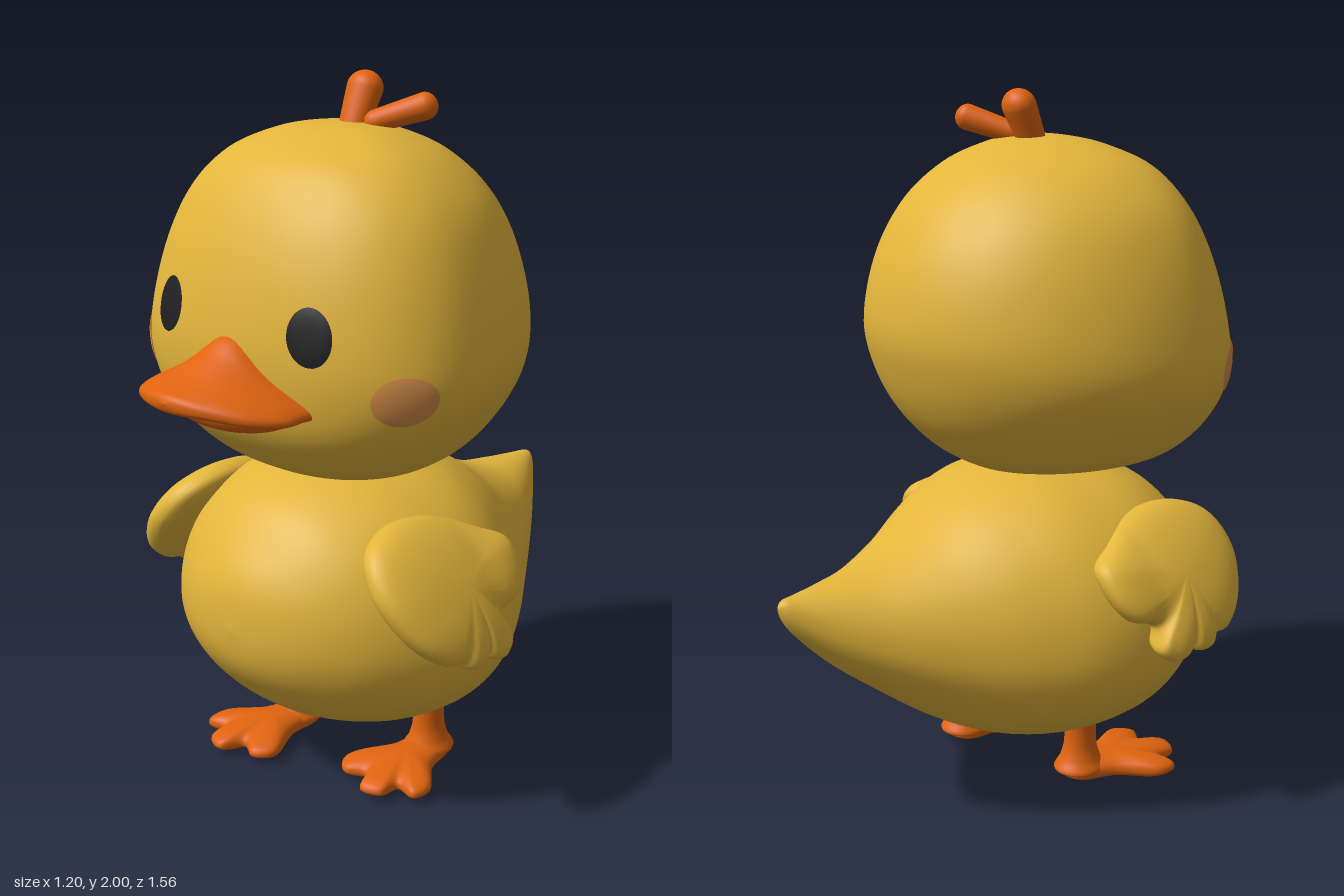
import * as THREE from 'three';
import { mergeVertices } from 'three/addons/utils/BufferGeometryUtils.js';

const TAU = Math.PI * 2;
const spow = (v, p) => Math.sign(v) * Math.abs(v) ** p;

// Smooth surface from fn(u, v) -> [x, y, z], welded and wound outward
function surface(fn, nu, nv) {
  const pos = [], index = [];
  for (let j = 0; j <= nv; j++)
    for (let i = 0; i <= nu; i++) pos.push(...fn((i % nu) / nu, j / nv));
  let volume = 0;
  const a = new THREE.Vector3(), b = new THREE.Vector3(), c = new THREE.Vector3();
  const tri = (p, q, r) => {
    index.push(p, q, r);
    a.fromArray(pos, p * 3); b.fromArray(pos, q * 3); c.fromArray(pos, r * 3);
    volume += a.dot(b.cross(c));
  };
  for (let j = 0; j < nv; j++)
    for (let i = 0; i < nu; i++) {
      const p = j * (nu + 1) + i, q = p + nu + 1;
      tri(p, p + 1, q);
      tri(p + 1, q + 1, q);
    }
  if (volume < 0) index.reverse();
  const g = new THREE.BufferGeometry();
  g.setAttribute('position', new THREE.Float32BufferAttribute(pos, 3));
  g.setIndex(index);
  const welded = mergeVertices(g, 1e-5);
  welded.computeVertexNormals();
  return welded;
}

// Catmull-Rom interpolation of a table of section rows, t in 0..1
function sample(rows, t) {
  const n = rows.length - 1, s = Math.min(Math.max(t, 0), 1) * n;
  const i = Math.min(Math.floor(s), n - 1), f = s - i;
  const p = rows[Math.max(i - 1, 0)], q = rows[i], r = rows[i + 1], w = rows[Math.min(i + 2, n)];
  return q.map((_, k) => {
    const m0 = (r[k] - p[k]) / 2, m1 = (w[k] - q[k]) / 2, d = r[k] - q[k];
    return q[k] + f * (m0 + f * (3 * d - 2 * m0 - m1 + f * (m0 + m1 - 2 * d)));
  });
}

// Puffy pad from a 2D outline; place(a, b, h) maps outline coordinates and height to space
function pad(outline, [ca, cb], place, nu = 96) {
  const curve = new THREE.CatmullRomCurve3(outline.map(([a, b]) => new THREE.Vector3(a, b, 0)), true);
  return surface((u, v) => {
    const p = curve.getPoint(u), r = Math.sin(Math.PI * v);
    const s = v === 0 || v === 1 ? 0 : r;
    return place(ca + (p.x - ca) * s, cb + (p.y - cb) * s, spow(Math.cos(Math.PI * v), 0.8));
  }, nu, 24);
}

// Body sections: z, half width, bottom, top
const BODY = [
  [0.572, 0, 0.55, 0.55], [0.555, 0.13, 0.45, 0.67], [0.5, 0.26, 0.36, 0.765],
  [0.4, 0.38, 0.26, 0.87], [0.25, 0.475, 0.19, 0.935], [0.1, 0.51, 0.165, 0.95],
  [-0.05, 0.482, 0.163, 0.945], [-0.2, 0.405, 0.2, 0.89], [-0.35, 0.31, 0.28, 0.8],
  [-0.5, 0.215, 0.39, 0.738], [-0.62, 0.135, 0.485, 0.72], [-0.72, 0.062, 0.585, 0.712],
  [-0.765, 0.026, 0.645, 0.708], [-0.782, 0, 0.69, 0.69],
];
// Head sections: y, half width, front z, back z
const HEAD = [
  [0.937, 0, 0.12, 0.12], [0.942, 0.13, 0.28, -0.05], [0.97, 0.28, 0.38, -0.14],
  [1.03, 0.395, 0.46, -0.23], [1.13, 0.485, 0.53, -0.315], [1.25, 0.54, 0.553, -0.37],
  [1.38, 0.532, 0.55, -0.395], [1.55, 0.485, 0.512, -0.36], [1.69, 0.415, 0.45, -0.28],
  [1.79, 0.31, 0.37, -0.17], [1.845, 0.19, 0.26, -0.05], [1.866, 0.09, 0.18, 0.04],
  [1.87, 0, 0.12, 0.12],
];
// Upper beak sections: z, half width, centre y, half thickness, ridge height
const BEAK = [
  [0.4, 0, 1.25, 0, 0], [0.41, 0.24, 1.25, 0.04, 0.09], [0.54, 0.257, 1.253, 0.04, 0.085],
  [0.61, 0.247, 1.25, 0.04, 0.045], [0.68, 0.2, 1.247, 0.036, 0.015],
  [0.735, 0.125, 1.246, 0.03, 0.003], [0.765, 0.06, 1.247, 0.022, 0], [0.776, 0, 1.25, 0, 0],
];
const LEG = [[0.03, 0], [0.035, 0.07], [0.07, 0.057], [0.11, 0.046], [0.17, 0.044], [0.22, 0.048], [0.25, 0.04], [0.255, 0]];

// Side outline of a wing (z, y) with three feather tips
const WING = [
  [0.45, 0.72], [0.42, 0.81], [0.32, 0.858], [0.16, 0.853], [0.02, 0.795], [-0.05, 0.755], [-0.045, 0.69],
  [0, 0.625], [0.085, 0.588], [0.072, 0.53], [0.11, 0.495], [0.155, 0.5], [0.18, 0.525], [0.205, 0.503],
  [0.25, 0.505], [0.275, 0.53], [0.32, 0.535], [0.4, 0.6],
];
// Top outline of a foot (outward x, z) with three webbed toes
const FOOT = [
  [0, -0.062], [0.05, -0.04], [0.08, 0.08], [0.155, 0.19], [0.14, 0.245], [0.075, 0.235], [0.06, 0.295],
  [0, 0.31], [-0.035, 0.245], [-0.1, 0.265], [-0.14, 0.215], [-0.07, 0.08], [-0.05, -0.04],
];

// Point on the head at height parameter t and angle a (a = 90 degrees is the front)
function headPoint(t, a, lift = 0) {
  const [y, w, zf, zb] = sample(HEAD, t);
  const zc = zb + (zf - zb) * 0.6, front = Math.sin(a) > 0;
  const p = front ? 0.89 : 1, depth = front ? zf - zc : zc - zb;
  return [(w + lift) * spow(Math.cos(a), p), y, zc + (depth + lift) * spow(Math.sin(a), p)];
}

// Height parameter of the head at a given y
function headT(y) {
  let lo = 0, hi = 1;
  for (let i = 0; i < 30; i++) {
    const mid = (lo + hi) / 2;
    if (sample(HEAD, mid)[0] < y) lo = mid; else hi = mid;
  }
  return lo;
}

// Thin oval lying on the head
function facePatch(side, deg, y, spanDeg, spanY, lift) {
  return surface((u, v) => {
    const a = THREE.MathUtils.degToRad(deg + spanDeg * v * Math.cos(u * TAU));
    const [x, py, z] = headPoint(headT(y + spanY * v * Math.sin(u * TAU)), a, lift * (1 - 0.5 * v ** 4));
    return [side * x, py, z];
  }, 40, 8);
}

// Rounded feather between two points
function feather(from, to, radius, flat) {
  const a = new THREE.Vector3(...from), b = new THREE.Vector3(...to), d = b.clone().sub(a);
  const g = new THREE.CapsuleGeometry(radius, d.length(), 10, 24, 6);
  const p = g.attributes.position;
  for (let i = 0; i < p.count; i++) {
    const k = 0.9 + 0.2 * THREE.MathUtils.clamp(p.getY(i) / d.length() + 0.5, 0, 1);
    p.setXYZ(i, p.getX(i) * k, p.getY(i), p.getZ(i) * k * flat);
  }
  g.computeVertexNormals();
  g.applyQuaternion(new THREE.Quaternion().setFromUnitVectors(new THREE.Vector3(0, 1, 0), d.normalize()));
  return g.translate((a.x + b.x) / 2, (a.y + b.y) / 2, (a.z + b.z) / 2);
}

export function createModel() {
  const model = new THREE.Group();
  const material = (name, color, extra) => Object.assign(new THREE.MeshStandardMaterial({ color, ...extra }), { name });
  const yellow = material('yellow down', 0xe3b53b);
  const orange = material('orange', 0xe0640f);
  const black = material('eye black', 0x202022, { side: THREE.DoubleSide });
  const blush = material('blush', 0xd48c48, { side: THREE.DoubleSide });
  const add = (name, geometry, mat) => {
    const mesh = new THREE.Mesh(geometry, mat);
    mesh.name = name;
    model.add(mesh);
    return mesh;
  };

  // Body tapering into the raised tail
  add('body', surface((u, v) => {
    const [z, w, lo, hi] = sample(BODY, v), s = Math.sin(u * TAU);
    const mid = lo + (hi - lo) * 0.43;
    return [w * spow(Math.cos(u * TAU), 0.93), mid + s * (s > 0 ? hi - mid : mid - lo), z];
  }, 72, 78), yellow);

  add('head', surface((u, v) => headPoint(v, u * TAU), 72, 72), yellow);

  // Beak: ridged upper bill with drooping corners, and a smaller lower bill
  add('upperBeak', surface((u, v) => {
    const [z, w, yc, th, ridge] = sample(BEAK, v), s = Math.sin(u * TAU);
    const x = w * Math.cos(u * TAU);
    const bump = s > 0 ? ridge * s * Math.exp(-((x / 0.11) ** 2)) : 0;
    return [x, yc - 0.045 * (x / 0.25) ** 2 + th * spow(s, 0.8) + bump, z];
  }, 64, 42), orange);
  add('lowerBeak', new THREE.SphereGeometry(1, 36, 24).scale(0.2, 0.06, 0.135).translate(0, 1.19, 0.525), orange);

  // Tuft on the crown
  add('tallTuftFeather', feather([0.01, 1.85, 0.08], [0.012, 1.95, 0.035], 0.048, 0.85), orange);
  add('sideTuftFeather', feather([0.075, 1.873, 0.06], [0.175, 1.912, -0.02], 0.034, 0.95), orange);

  for (const side of [1, -1]) {
    const label = side > 0 ? 'left' : 'right';
    add(label + 'Eye', facePatch(side, 64, 1.41, 7.4, 0.074, 0.008), black);
    add(label + 'Cheek', facePatch(side, 32, 1.258, 12.5, 0.065, 0.005), blush);

    // Wing sloping outward from the shoulder
    add(label + 'Wing', pad(WING, [0.2, 0.7], (z, y, h) => {
      const d = 0.86 - y;
      const x = 0.325 + 0.8 * d - 0.35 * d * d + 0.25 * Math.max(0, 0.1 - z);
      return [side * (x + 0.08 * h), y + 0.02 * h, z];
    }, 144), yellow);

    // Legs in mid-step, the right one forward
    const [fx, fz, yaw] = side > 0 ? [0.222, -0.008, 0.02] : [0.2, 0.1, 0.12];
    add(label + 'Leg', surface((u, v) => {
      const [y, r] = sample(LEG, v);
      return [side * fx + r * Math.cos(u * TAU), y, fz + r * 1.1 * Math.sin(u * TAU)];
    }, 32, 28), orange);
    add(label + 'Foot', pad(FOOT, [0, 0.1], (a, z, h) => [
      side * (fx + a * Math.cos(yaw) + z * Math.sin(yaw)),
      0.032 + (h > 0 ? 0.04 : 0.032) * h,
      fz + z * Math.cos(yaw) - a * Math.sin(yaw),
    ]), orange);
  }
  return model;
}
